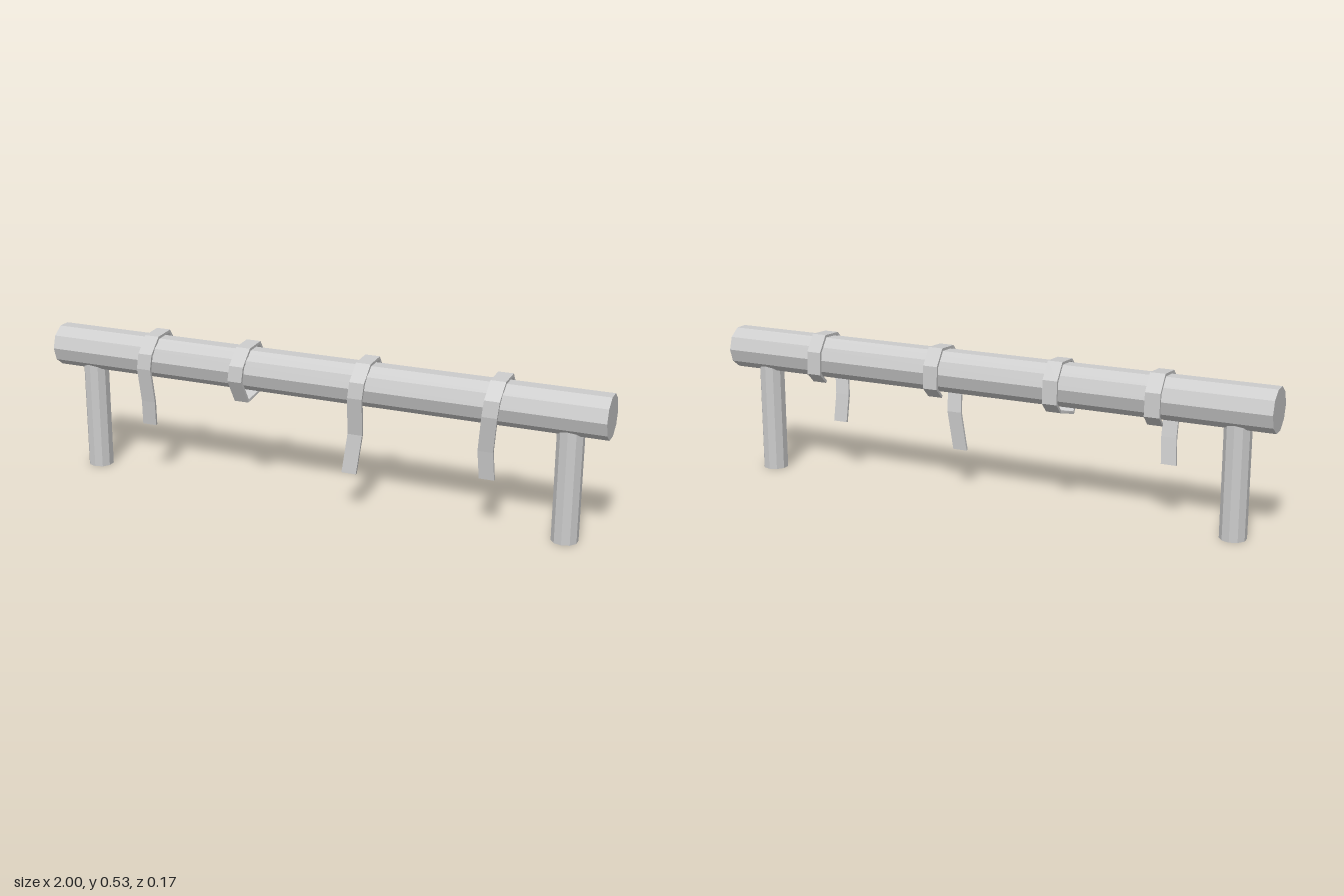
import * as THREE from 'three';

const grey = new THREE.MeshStandardMaterial({ color: 0xcccccc, flatShading: true });

function add(parent, name, geometry) {
  const mesh = new THREE.Mesh(geometry, grey);
  mesh.name = name;
  parent.add(mesh);
  return mesh;
}

// Flat band swept along outer points [x, y, z], with thickness added inward in the yz plane
function bandGeometry(points, closed, width = 0.052, thickness = 0.009) {
  const n = points.length, positions = [], index = [];
  const normal = (a, b) => new THREE.Vector2(-(b[1] - a[1]), b[2] - a[2]).normalize(); // (z, y)
  points.forEach((p, i) => {
    const prev = i > 0 ? points[i - 1] : closed ? points[n - 1] : null;
    const next = i < n - 1 ? points[i + 1] : closed ? points[0] : null;
    const n1 = prev ? normal(prev, p) : normal(p, next);
    const n2 = next ? normal(p, next) : n1;
    const miter = n1.clone().add(n2).normalize();
    miter.multiplyScalar(thickness / Math.max(0.5, miter.dot(n1)));
    const [x, y, z] = p, h = width / 2;
    const yi = y - miter.y, zi = z - miter.x;
    positions.push(x - h, y, z, x + h, y, z, x + h, yi, zi, x - h, yi, zi);
  });
  for (let i = 0; i < (closed ? n : n - 1); i++) {
    const a = i * 4, b = ((i + 1) % n) * 4;
    for (let j = 0; j < 4; j++) {
      const k = (j + 1) % 4;
      index.push(a + j, b + j, b + k, a + j, b + k, a + k);
    }
  }
  if (!closed) {
    const e = (n - 1) * 4;
    index.push(0, 1, 2, 0, 2, 3, e, e + 2, e + 1, e, e + 3, e + 2);
  }
  const g = new THREE.BufferGeometry();
  g.setAttribute('position', new THREE.Float32BufferAttribute(positions, 3));
  g.setIndex(index);
  const flat = g.toNonIndexed();
  flat.computeVertexNormals();
  return flat;
}

export function createModel() {
  const model = new THREE.Group();
  model.name = 'hitchingRail';

  // Ten-sided horizontal log
  const rail = add(model, 'rail', new THREE.CylinderGeometry(0.075, 0.075, 2, 10));
  rail.rotation.z = Math.PI / 2;
  rail.position.set(0, 0.443, -0.001);

  // Posts, sunk a little into the log
  for (const side of [-1, 1]) {
    const post = add(model, side < 0 ? 'rightPost' : 'leftPost',
      new THREE.CylinderGeometry(0.045, 0.045, 0.39, 10));
    post.position.set(side * 0.872, 0.195, -0.001);
  }

  // Loop profile [y, z, x shift]: from under the back, over the top, to the front
  const loop = [
    [0.355, -0.044, 0.006], [0.392, -0.085, 0.004], [0.472, -0.083, 0.003],
    [0.529, -0.046, 0.001], [0.524, 0.035, 0], [0.469, 0.08, -0.005], [0.415, 0.086, -0.01],
  ];
  const straps = [
    { x: -0.617, end: [[0.29, 0.063, -0.009], [0.2, 0.05, -0.015]] },
    { x: -0.264, closed: true, end: [[0.332, 0.042, -0.006]] },
    { x: 0.176, end: [[0.28, 0.06, -0.018], [0.143, 0.07, -0.035]] },
    { x: 0.637, end: [[0.29, 0.064, -0.025], [0.19, 0.051, -0.021]] },
  ];
  straps.forEach(({ x, end, closed = false }, i) => {
    const path = [...loop, ...end].map(([y, z, dx]) => [x + dx, y, z]);
    add(model, closed ? 'closedStrap' : `hangingStrap${i + 1}`, bandGeometry(path, closed));
  });
  return model;
}
